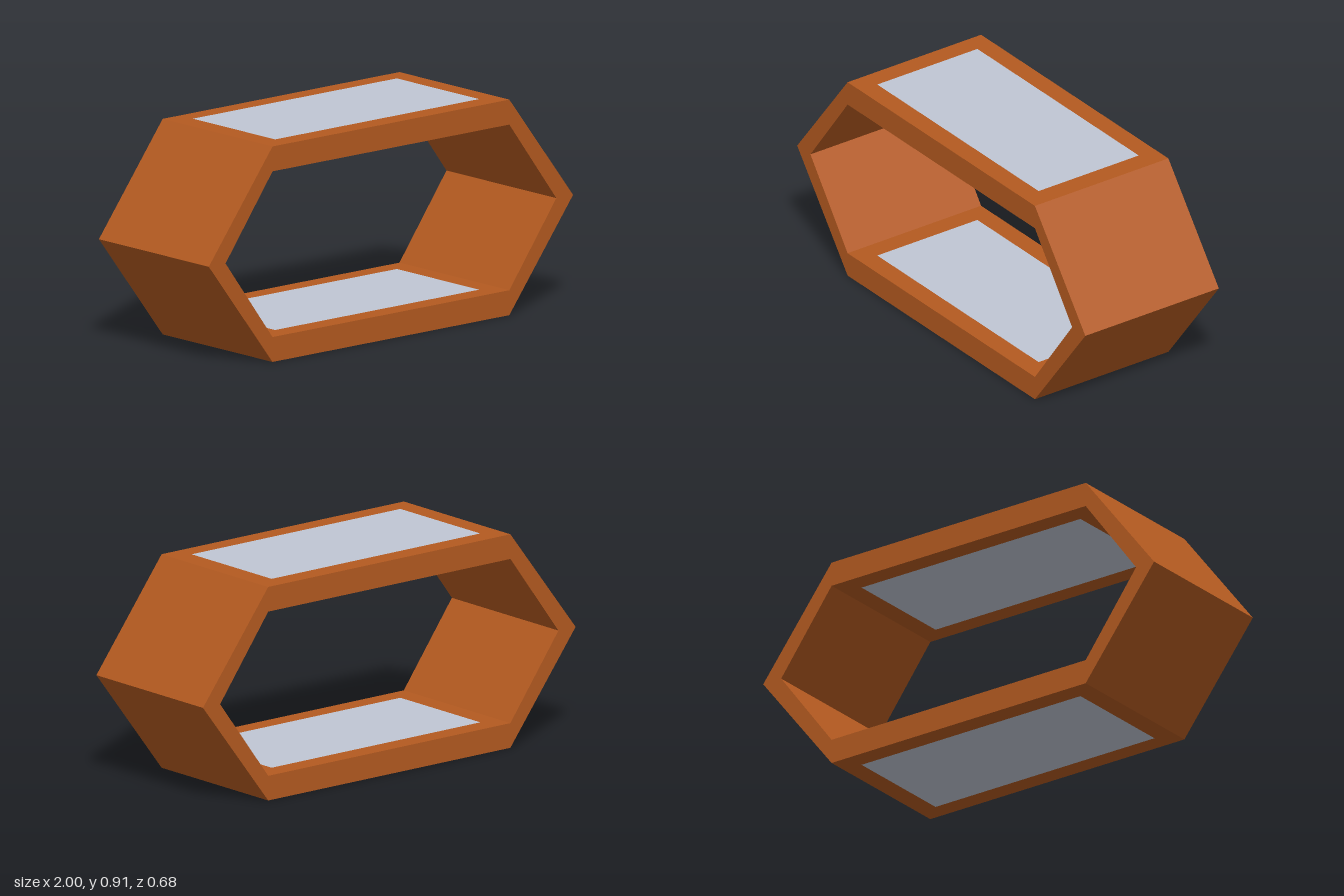
import * as THREE from 'three';

const HEIGHT = 0.908, DEPTH = 0.68, MID = HEIGHT / 2, WALL = 0.105;

// Six-sided outline: flat top and bottom, pointed sides
function hexagon(PathType, tipX, cornerX, halfHeight) {
  const path = new PathType();
  path.setFromPoints([
    [tipX, 0], [cornerX, halfHeight], [-cornerX, halfHeight],
    [-tipX, 0], [-cornerX, -halfHeight], [cornerX, -halfHeight],
  ].map(([x, y]) => new THREE.Vector2(x, MID + y)));
  path.closePath();
  return path;
}

export function createModel() {
  const group = new THREE.Group();
  group.name = 'hexagonalShelf';
  const wood = new THREE.MeshStandardMaterial({ color: 0xb45a20, flatShading: true });
  const glass = new THREE.MeshStandardMaterial({ color: 0xc0c6d4 });

  // Hollow frame, open at front and back
  const outline = hexagon(THREE.Shape, 1, 0.65, MID);
  outline.holes.push(hexagon(THREE.Path, 0.908, 0.65, MID - WALL));
  const frameGeometry = new THREE.ExtrudeGeometry(outline, { depth: DEPTH, bevelEnabled: false });
  frameGeometry.translate(0, 0, -DEPTH / 2);
  const frame = new THREE.Mesh(frameGeometry, wood);
  frame.name = 'frame';
  group.add(frame);

  // Inlaid panels on both faces of the top and bottom boards
  const panelGeometry = new THREE.PlaneGeometry(1.12, 0.51);
  const lift = 0.0015;
  const addPanel = (name, y, facing) => {
    const panel = new THREE.Mesh(panelGeometry, glass);
    panel.name = name;
    panel.position.y = y + facing * lift;
    panel.rotation.x = -facing * Math.PI / 2;
    group.add(panel);
  };
  for (const [board, base] of [['bottom', 0], ['top', HEIGHT - WALL]]) {
    addPanel(board + 'PanelUpperFace', base + WALL, 1);
    addPanel(board + 'PanelLowerFace', base, -1);
  }
  // Rest the lowest face on the ground
  group.children.forEach((mesh) => { mesh.position.y += lift; });
  return group;
}
